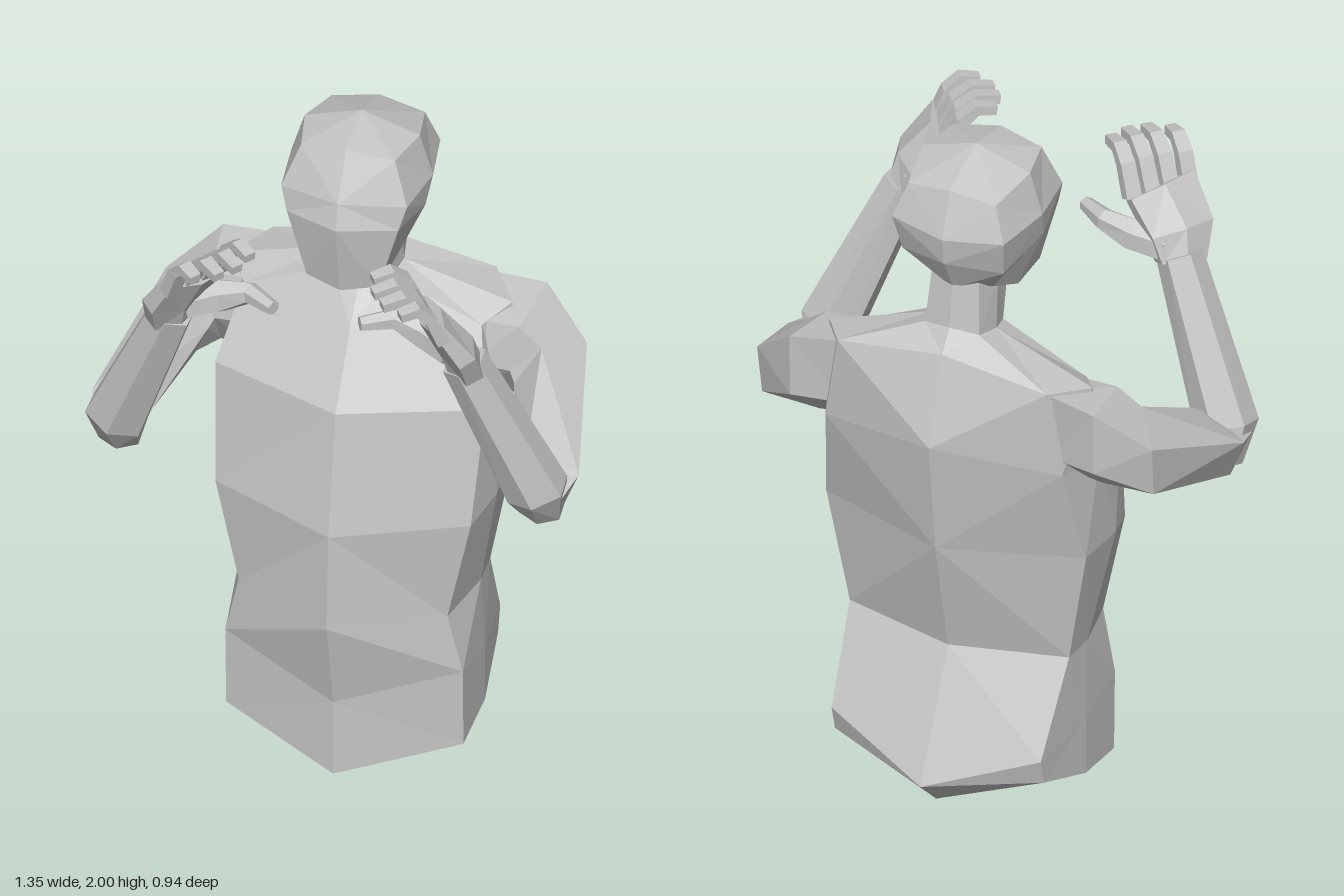
import * as THREE from 'three';

const V = (a) => new THREE.Vector3(a[0], a[1], a[2]);

// Closed skin through equal-sized rings of points, with fan caps and outward faces
function loft(rings, capEnd) {
  const n = rings[0].length, tris = [];
  const add = (a, b, c) => {
    const area = b.clone().sub(a).cross(c.clone().sub(a)).length();
    if (area > 1e-8) tris.push([a, b, c]);
  };
  for (let i = 0; i < rings.length - 1; i++) {
    for (let k = 0; k < n; k++) {
      const a = rings[i][k], b = rings[i][(k + 1) % n];
      const c = rings[i + 1][(k + 1) % n], d = rings[i + 1][k];
      // Split along the shorter diagonal, so both halves match
      if (a.distanceTo(c) < b.distanceTo(d)) {
        add(a, b, c);
        add(a, c, d);
      } else {
        add(a, b, d);
        add(b, c, d);
      }
    }
  }
  const middle = (r) => r.reduce((s, p) => s.add(p), new THREE.Vector3()).divideScalar(n);
  const first = rings[0], last = rings[rings.length - 1];
  const c0 = middle(first), c1 = capEnd || middle(last);
  for (let k = 0; k < n; k++) {
    const j = (k + 1) % n;
    add(c0, first[j], first[k]);
    add(c1, last[k], last[j]);
  }
  let volume = 0;
  for (const [a, b, c] of tris) volume += a.dot(b.clone().cross(c));
  const pos = [];
  for (const [a, b, c] of tris) {
    for (const p of volume > 0 ? [a, b, c] : [a, c, b]) pos.push(p.x, p.y, p.z);
  }
  const g = new THREE.BufferGeometry();
  g.setAttribute('position', new THREE.Float32BufferAttribute(pos, 3));
  g.computeVertexNormals();
  return g;
}

// Full ring from its left half, listed from front centre to back centre
function mirrorRing(half) {
  const left = half.map(V);
  const right = half.slice(1, -1).reverse().map(([x, y, z]) => V([-x, y, z]));
  return left.concat(right);
}

// Limb along [x, y, z, halfWidth, halfDepth] stations; side = 1 left, -1 right
function limb(path, ref, sides, side) {
  const p = path.map(V), r = V(ref);
  const growU = 1 / Math.cos(Math.PI / sides), growV = sides === 4 ? growU : 1;
  const rings = path.map((s, i) => {
    const t = p[Math.min(i + 1, p.length - 1)].clone().sub(p[Math.max(i - 1, 0)]).normalize();
    const u = r.clone().cross(t).normalize(), v = t.clone().cross(u);
    return Array.from({ length: sides }, (_, k) => {
      const a = ((k + 0.5) / sides) * Math.PI * 2;
      const q = p[i].clone()
        .addScaledVector(u, Math.cos(a) * s[3] * growU)
        .addScaledVector(v, Math.sin(a) * s[4] * growV);
      q.x *= side;
      return q;
    });
  });
  return loft(rings);
}

export function createModel() {
  const model = new THREE.Group();
  model.name = 'bust';
  const grey = new THREE.MeshStandardMaterial({ color: 0xc4c4c4, flatShading: true });
  grey.name = 'plain grey';
  const mesh = (name, geometry, parent) => {
    const m = new THREE.Mesh(geometry, grey);
    m.name = name;
    parent.add(m);
  };

  // Torso and neck: underside keel, hips, waist, ribs, chest, shoulders, neck
  const torso = [
    [[0, 0.005, 0.135], [0, 0.01, 0.03], [0, 0.025, -0.12], [0, 0.06, -0.3], [0, 0.075, -0.37]],
    [[0, 0.005, 0.135], [0.33, 0.1, 0.03], [0.335, 0.125, -0.15], [0.31, 0.2, -0.35], [0, 0.075, -0.37]],
    [[0, 0.24, 0.135], [0.33, 0.34, 0.035], [0.335, 0.3, -0.15], [0.31, 0.275, -0.37], [0, 0.165, -0.465]],
    [[0, 0.52, 0.195], [0.29, 0.52, 0.045], [0.33, 0.53, -0.13], [0.325, 0.53, -0.23], [0, 0.52, -0.3]],
    [[0, 0.81, 0.18], [0.355, 0.83, 0.045], [0.39, 0.86, -0.08], [0.385, 0.87, -0.25], [0, 0.865, -0.375]],
    [[0, 1.17, 0.115], [0.375, 1.17, -0.02], [0.385, 1.14, -0.17], [0.35, 1.16, -0.325], [0, 1.2, -0.415]],
    [[0, 1.36, -0.02], [0.33, 1.36, -0.135], [0.39, 1.39, -0.22], [0.31, 1.41, -0.335], [0, 1.45, -0.335]],
    [[0, 1.465, -0.11], [0.08, 1.47, -0.13], [0.095, 1.485, -0.2], [0.08, 1.5, -0.275], [0, 1.51, -0.29]],
    [[0, 1.6, -0.085], [0.08, 1.62, -0.1], [0.09, 1.63, -0.18], [0.07, 1.65, -0.255], [0, 1.65, -0.27]],
  ];
  mesh('torso', loft(torso.map(mirrorRing)), model);

  // Head: jaw, cheeks, brow, crown
  const head = [
    [[0, 1.55, 0.075], [0.1, 1.565, 0.05], [0.105, 1.565, -0.09], [0.09, 1.62, -0.21], [0, 1.62, -0.265]],
    [[0, 1.77, 0.115], [0.155, 1.76, 0.05], [0.185, 1.75, -0.1], [0.15, 1.71, -0.27], [0, 1.73, -0.325]],
    [[0, 1.84, 0.09], [0.175, 1.83, 0.035], [0.197, 1.83, -0.13], [0.165, 1.82, -0.3], [0, 1.81, -0.337]],
    [[0, 1.97, 0.02], [0.13, 1.95, 0], [0.16, 1.95, -0.13], [0.13, 1.92, -0.275], [0, 1.94, -0.29]],
  ];
  mesh('head', loft(head.map(mirrorRing), V([0, 2, -0.13])), model);

  // Upper arm rings from chest to elbow: top, outer, lower outer, lower inner, inner
  const upperArm = [
    [[0.28, 1.365, -0.15], [0.28, 1.405, -0.32], [0.3, 1.2, -0.31], [0.3, 1.1, -0.2], [0.3, 1.24, -0.12]],
    [[0.43, 1.365, -0.15], [0.45, 1.385, -0.34], [0.45, 1.2, -0.335], [0.42, 1.1, -0.22], [0.41, 1.23, -0.13]],
    [[0.495, 1.315, -0.14], [0.585, 1.27, -0.26], [0.58, 1.12, -0.24], [0.47, 1.09, -0.16], [0.425, 1.2, -0.12]],
    [[0.53, 1.185, 0.1], [0.675, 1.11, 0.11], [0.625, 0.985, 0.13], [0.565, 0.985, 0.135], [0.505, 1.09, 0.13]],
    [[0.55, 1.13, 0.18], [0.655, 1.09, 0.2], [0.62, 1.02, 0.19], [0.575, 1.01, 0.19], [0.53, 1.08, 0.18]],
  ];

  // Arms and hands
  for (const side of [1, -1]) {
    const arm = new THREE.Group();
    arm.name = side > 0 ? 'leftArm' : 'rightArm';
    model.add(arm);
    mesh('upperArm', loft(upperArm.map((r) => r.map(([x, y, z]) => V([x * side, y, z])))), arm);
    mesh('forearm', limb([
      [0.585, 1.01, 0.15, 0.055, 0.05],
      [0.585, 1.1, 0.19, 0.078, 0.078],
      [0.405, 1.54, 0.27, 0.055, 0.064],
    ], [0, 0, 1], 6, side), arm);

    const hand = new THREE.Group();
    hand.name = 'hand';
    arm.add(hand);
    const palmNormal = [-0.68, -0.51, 0.51];
    mesh('palm', limb([
      [0.41, 1.52, 0.27, 0.065, 0.05],
      [0.393, 1.6, 0.295, 0.092, 0.05],
      [0.325, 1.705, 0.318, 0.1, 0.035],
    ], palmNormal, 6, side), hand);
    // Four curled fingers, index to little
    [0.135, 0.155, 0.15, 0.12].forEach((len, i) => {
      const x = 0.275 + i * 0.034, z = 0.25 + i * 0.045, y = 1.69 - i * 0.003;
      const at = (f, rise, w) => [x - 0.78 * len * f, y + rise, z + 0.62 * len * f, w, w * 0.8];
      mesh('finger', limb([
        at(0, 0, 0.022), at(0.3, 0.085, 0.021), at(0.6, 0.118, 0.019), at(1, 0.11, 0.016),
      ], palmNormal, 4, side), hand);
    });
    mesh('thumb', limb([
      [0.37, 1.565, 0.26, 0.045, 0.05],
      [0.28, 1.585, 0.235, 0.036, 0.05],
      [0.2, 1.61, 0.235, 0.026, 0.032],
      [0.12, 1.61, 0.285, 0.018, 0.02],
    ], [0, 1, 0], 6, side), hand);
  }
  return model;
}
